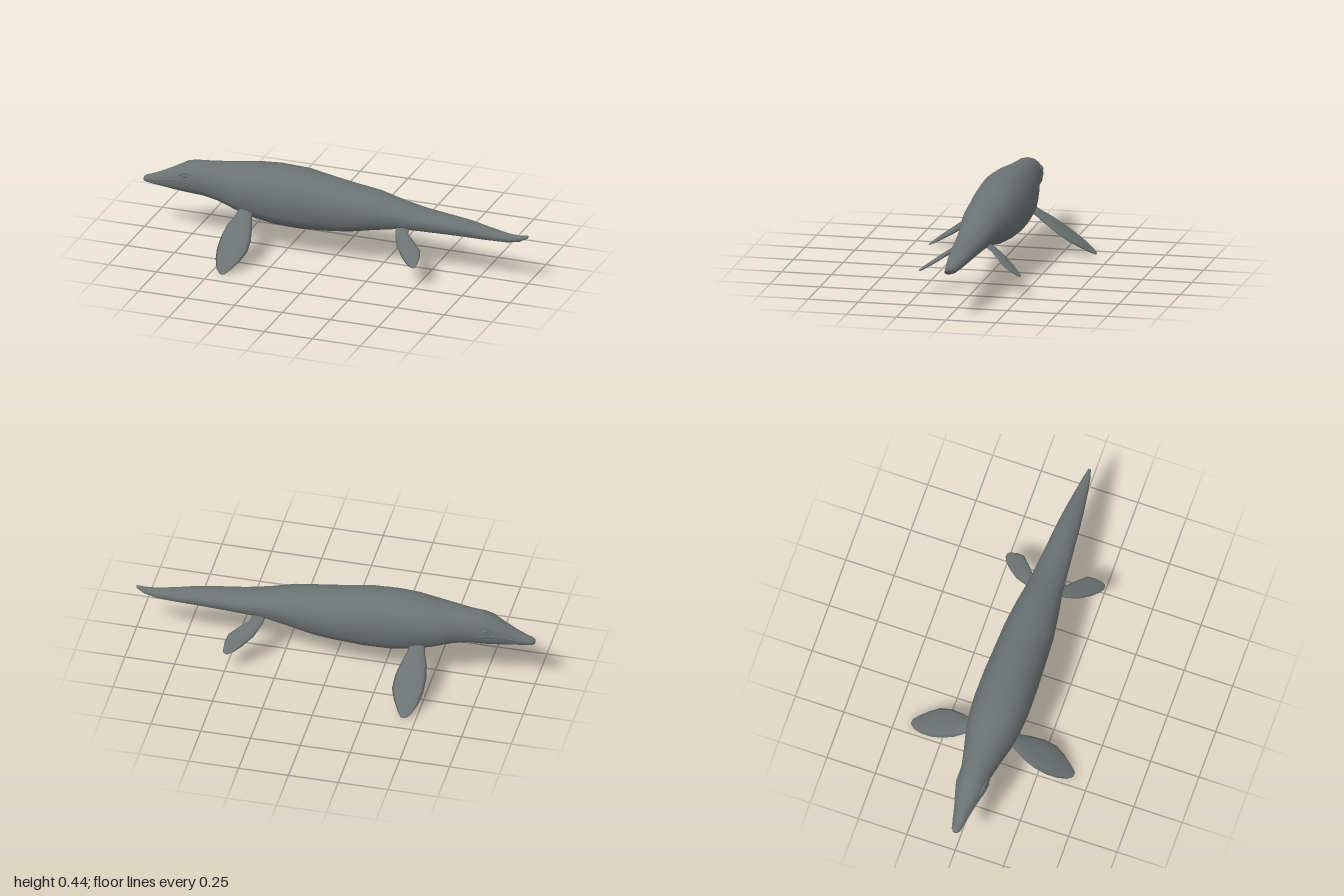
import * as THREE from 'three';

// body stations: x, top y, bottom y, half width
const STATIONS = [
  [-1, 0.272, 0.25, 0.014], [-0.985, 0.281, 0.244, 0.021], [-0.95, 0.293, 0.24, 0.028],
  [-0.9, 0.316, 0.237, 0.038], [-0.84, 0.348, 0.232, 0.054], [-0.78, 0.382, 0.23, 0.072],
  [-0.74, 0.392, 0.228, 0.076], [-0.68, 0.397, 0.225, 0.078], [-0.6, 0.404, 0.212, 0.095],
  [-0.5, 0.415, 0.18, 0.119], [-0.4, 0.43, 0.156, 0.135], [-0.3, 0.437, 0.14, 0.141],
  [-0.16, 0.432, 0.135, 0.139], [0, 0.403, 0.146, 0.131], [0.1, 0.387, 0.16, 0.126],
  [0.22, 0.372, 0.184, 0.11], [0.34, 0.34, 0.205, 0.09], [0.46, 0.315, 0.21, 0.078],
  [0.6, 0.3, 0.211, 0.065], [0.7, 0.287, 0.211, 0.056], [0.8, 0.266, 0.21, 0.044],
  [0.9, 0.25, 0.21, 0.029], [0.96, 0.25, 0.221, 0.018], [1, 0.256, 0.243, 0.007],
];

// fin stations: leading x, z, trailing x, z, half thickness
const FRONT_FIN = [
  [-0.465, 0.07, -0.395, 0.07, 0.014], [-0.478, 0.13, -0.392, 0.13, 0.015],
  [-0.5, 0.18, -0.372, 0.18, 0.016], [-0.511, 0.24, -0.355, 0.24, 0.016],
  [-0.51, 0.3, -0.353, 0.3, 0.014], [-0.498, 0.35, -0.375, 0.35, 0.011],
  [-0.477, 0.395, -0.405, 0.395, 0.007], [-0.452, 0.419, -0.426, 0.419, 0.003],
];
const REAR_FIN = [
  [0.335, 0.06, 0.4, 0.05, 0.01], [0.345, 0.1, 0.41, 0.09, 0.01],
  [0.375, 0.16, 0.455, 0.125, 0.01], [0.42, 0.21, 0.5, 0.165, 0.009],
  [0.455, 0.24, 0.51, 0.2, 0.007], [0.485, 0.256, 0.51, 0.235, 0.005],
  [0.498, 0.254, 0.506, 0.25, 0.002],
];

// joins equal rings into a closed skin, each end drawn to its middle
function loft(rings) {
  const n = rings[0].length;
  const cap = (ring) => {
    const c = new THREE.Vector3();
    ring.forEach((p) => c.add(p));
    c.divideScalar(n);
    return ring.map(() => c);
  };
  const all = [cap(rings[0]), ...rings, cap(rings[rings.length - 1])];
  const index = [];
  for (let i = 0; i < all.length - 1; i++) {
    for (let j = 0; j < n; j++) {
      const a = i * n + j, b = i * n + (j + 1) % n;
      index.push(a, b, a + n, b, b + n, a + n);
    }
  }
  const geo = new THREE.BufferGeometry().setFromPoints(all.flat());
  geo.setIndex(index);
  geo.computeVertexNormals();
  return geo;
}

// point on the body skin: angle 0 is the back, PI the belly
function skinPoint([x, top, bottom, width], angle) {
  const c = Math.cos(angle), s = Math.sin(angle);
  const e = c < 0 ? 0.78 : 1; // fuller belly
  return new THREE.Vector3(
    x,
    (top + bottom) / 2 + (top - bottom) / 2 * Math.sign(c) * Math.abs(c) ** e,
    width * Math.sign(s) * Math.abs(s) ** e,
  );
}

function stationAt(x) {
  const i = Math.max(1, STATIONS.findIndex((s) => s[0] >= x));
  const a = STATIONS[i - 1], b = STATIONS[i];
  const t = (x - a[0]) / (b[0] - a[0]);
  return a.map((v, k) => v + (b[k] - v) * t);
}

// flat fin sloping down and outwards from the body
function finGeometry(stations, rootY, rootZ, slope, side) {
  const normal = new THREE.Vector3(0, 1, slope).normalize();
  const at = (x, z) => new THREE.Vector3(x, rootY - (z - rootZ) * slope, z);
  const rings = stations.map(([lx, lz, tx, tz, thick]) => {
    const lead = at(lx, lz), trail = at(tx, tz);
    const mid = lead.clone().add(trail).multiplyScalar(0.5);
    const half = lead.clone().sub(trail).multiplyScalar(0.5);
    return Array.from({ length: 10 }, (_, j) => {
      const a = j / 10 * Math.PI * 2;
      const p = mid.clone().addScaledVector(half, Math.cos(a))
        .addScaledVector(normal, -side * thick * Math.sin(a));
      p.z *= side;
      return p;
    });
  });
  return loft(rings);
}

export function createModel() {
  const group = new THREE.Group();
  const skin = new THREE.MeshStandardMaterial({ color: 0x6c7272 });
  skin.name = 'grey skin';
  const add = (name, geo) => {
    const mesh = new THREE.Mesh(geo, skin);
    mesh.name = name;
    group.add(mesh);
    return mesh;
  };

  // head, trunk and tail in one skin
  const sides = 16;
  add('body', loft(STATIONS.map((s) => Array.from({ length: sides },
    (_, j) => skinPoint(s, j / sides * Math.PI * 2)))));

  for (const side of [1, -1]) {
    const word = side > 0 ? 'front' : 'back';
    add(`${word}SideFrontFlipper`, finGeometry(FRONT_FIN, 0.222, 0.088, 0.66, side));
    add(`${word}SideRearFlipper`, finGeometry(REAR_FIN, 0.217, 0.08, 0.61, side));

    // lip ridge along the jaw
    const lip = [-0.99, -0.94, -0.88, -0.82, -0.76, -0.72].map((x, i) =>
      skinPoint(stationAt(x), side * (1.5 + (i > 3 ? 0.1 * (i - 3) : 0))));
    add(`${word}SideLip`, new THREE.TubeGeometry(new THREE.CatmullRomCurve3(lip), 20, 0.004, 6));

    // eye and the brow above it
    const eye = add(`${word}SideEye`, new THREE.SphereGeometry(0.01, 10, 8));
    eye.position.copy(skinPoint(stationAt(-0.765), side * 1.25));
    eye.scale.set(1.3, 0.8, 0.6);
    const brow = [-0.8, -0.765, -0.73].map((x, i) =>
      skinPoint(stationAt(x), side * (i === 1 ? 1.06 : 1.16)));
    add(`${word}SideBrow`, new THREE.TubeGeometry(new THREE.CatmullRomCurve3(brow), 8, 0.005, 6));
  }
  return group;
}
